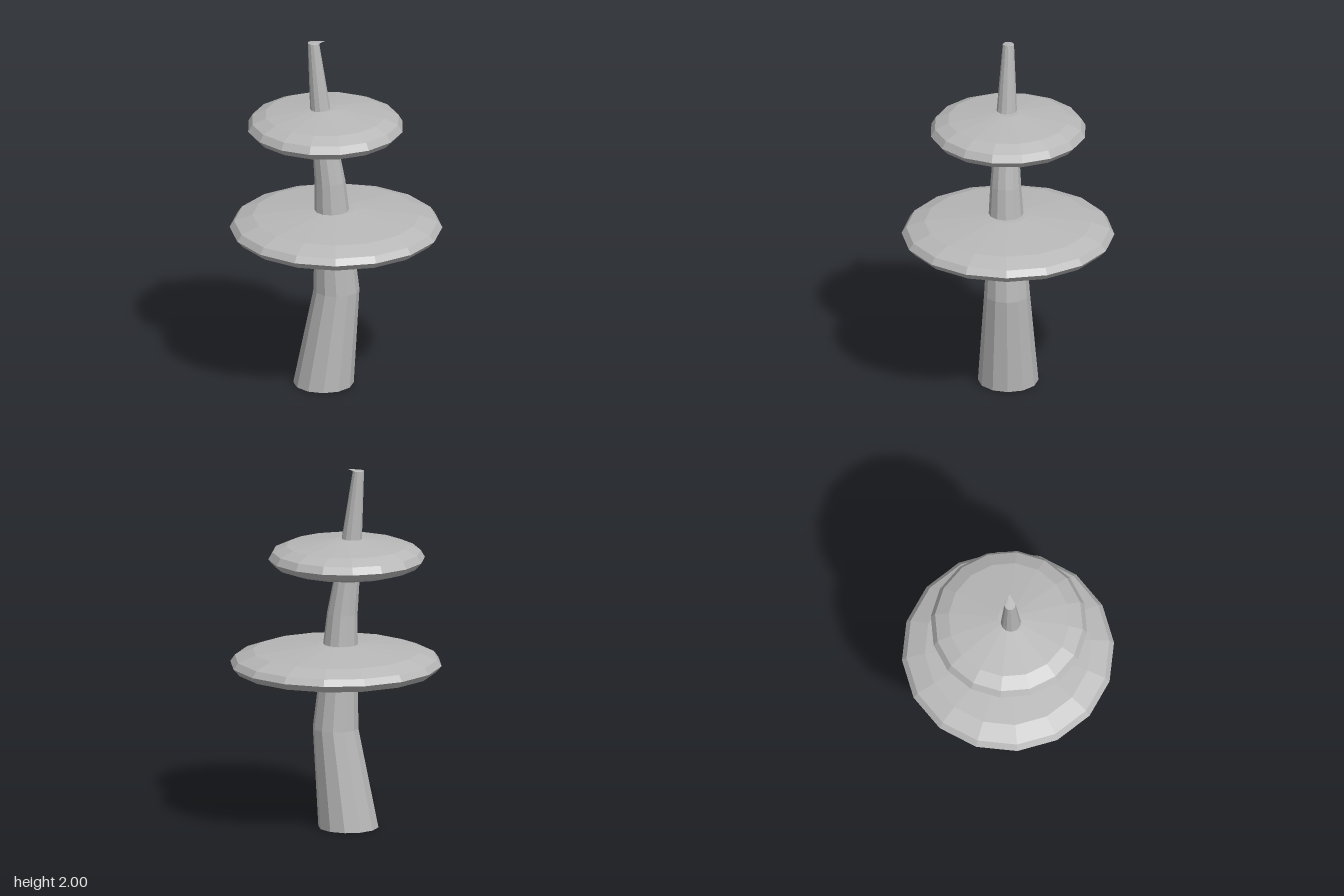
import * as THREE from 'three';

const SIDES = 12;

// Trunk rings from tip to base: [centre x, y, centre z, radius]
const TRUNK = [
  [-0.062, 2.0, 0, 0],
  [-0.123, 1.99, 0, 0.031],
  [-0.085, 1.6, 0.008, 0.056],
  [-0.033, 1.19, 0.013, 0.084],
  [0.003, 0.55, 0.005, 0.125],
  [-0.068, 0, 0, 0.165],
];

// Leaning tapered trunk: an open cylinder whose rings are moved to the table
function trunkGeometry() {
  const geo = new THREE.CylinderGeometry(1, 1, 1, SIDES, TRUNK.length - 1, true);
  const pos = geo.attributes.position;
  for (let i = 0; i < pos.count; i++) {
    const [cx, y, cz, r] = TRUNK[Math.floor(i / (SIDES + 1))];
    pos.setXYZ(i, cx + pos.getX(i) * r, y, cz + pos.getZ(i) * r);
  }
  geo.computeVertexNormals();
  return geo;
}

// Flattened disc of foliage from a profile of [radius, y], bottom to top
function discGeometry(profile, phase) {
  const points = profile.map(([r, y]) => new THREE.Vector2(r, y));
  return new THREE.LatheGeometry(points, 16, phase);
}

export function createModel() {
  const group = new THREE.Group();
  const grey = new THREE.MeshStandardMaterial({ color: 0xb8b8b8, flatShading: true, side: THREE.DoubleSide });
  grey.name = 'plain grey';

  const add = (name, geometry, x = 0) => {
    const mesh = new THREE.Mesh(geometry, grey);
    mesh.name = name;
    mesh.position.x = x;
    group.add(mesh);
  };

  add('trunk', trunkGeometry());
  add('lowerFoliage', discGeometry([
    [0, 0.85], [0.45, 0.85], [0.545, 0.872], [0.58, 0.91],
    [0.555, 0.945], [0.455, 0.982], [0.1, 1.02], [0, 1.02],
  ], 0));
  add('upperFoliage', discGeometry([
    [0, 1.437], [0.32, 1.437], [0.395, 1.462], [0.428, 1.5],
    [0.405, 1.54], [0.33, 1.573], [0.06, 1.61], [0, 1.61],
  ], Math.PI / 16), -0.058);

  return group;
}
